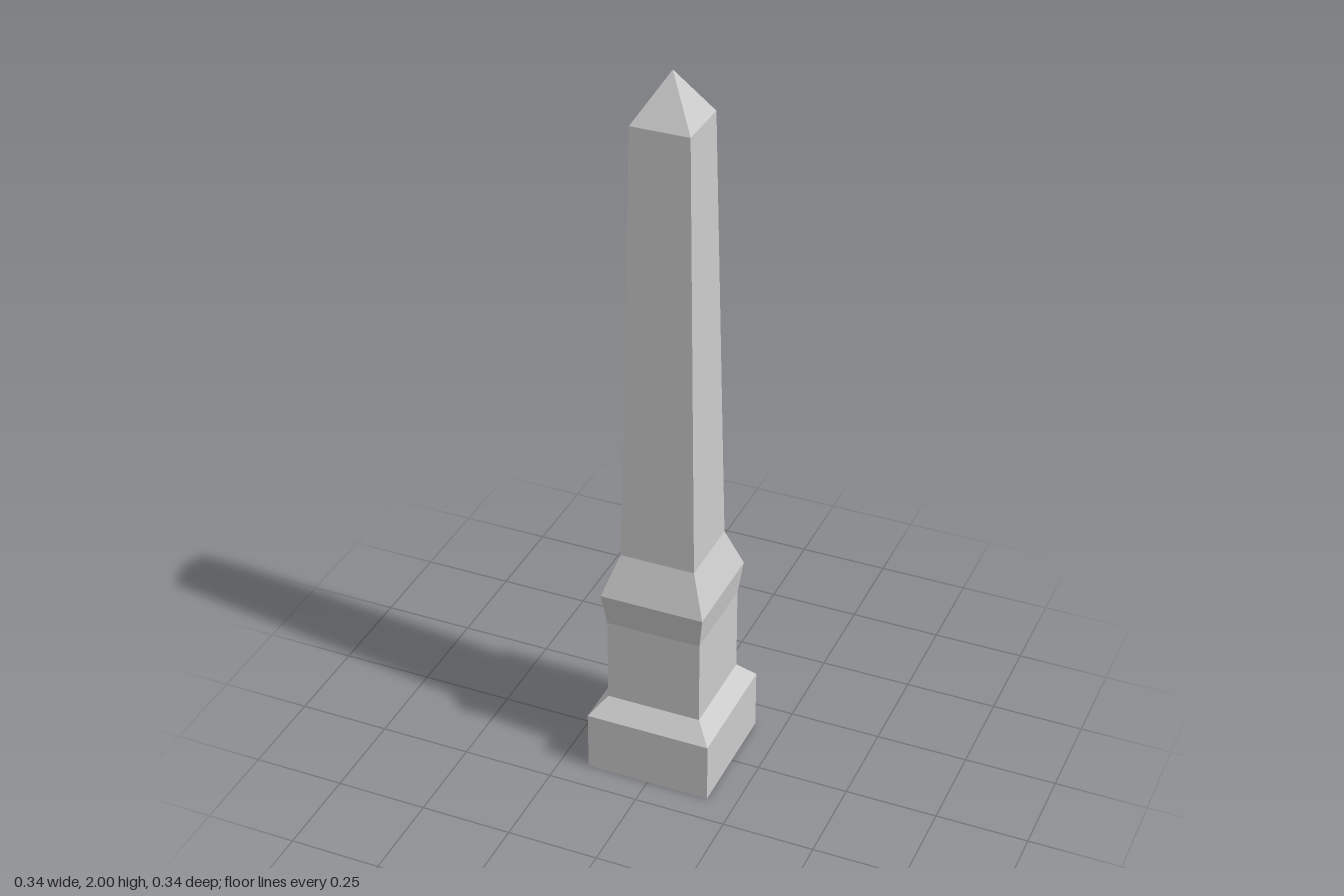
import * as THREE from 'three';

// Square obelisk: each tier is [name, y bottom, half-width bottom, y top, half-width top]
const TIERS = [
  ['plinth', 0, 0.172, 0.17, 0.172],
  ['plinthBevel', 0.17, 0.172, 0.22, 0.13],
  ['pedestal', 0.22, 0.13, 0.46, 0.13],
  ['pedestalFlare', 0.46, 0.13, 0.55, 0.142],
  ['shoulder', 0.55, 0.142, 0.665, 0.102],
  ['shaft', 0.665, 0.102, 1.875, 0.078],
  ['pyramidTip', 1.875, 0.078, 2, 0],
];

export function createModel() {
  const model = new THREE.Group();
  model.name = 'obelisk';
  const stone = new THREE.MeshStandardMaterial({ color: 0xcccccc, flatShading: true });

  // Four-sided open band, turned so its faces look along x and z
  for (const [name, y0, w0, y1, w1] of TIERS) {
    const band = new THREE.CylinderGeometry(
      w1 * Math.SQRT2, w0 * Math.SQRT2, y1 - y0, 4, 1, true, Math.PI / 4
    ).toNonIndexed();
    band.computeVertexNormals();
    const mesh = new THREE.Mesh(band, stone);
    mesh.name = name;
    mesh.position.y = (y0 + y1) / 2;
    model.add(mesh);
  }

  // Underside of the plinth
  const underside = new THREE.Mesh(new THREE.PlaneGeometry(0.344, 0.344), stone);
  underside.name = 'underside';
  underside.rotation.x = Math.PI / 2;
  model.add(underside);

  return model;
}
